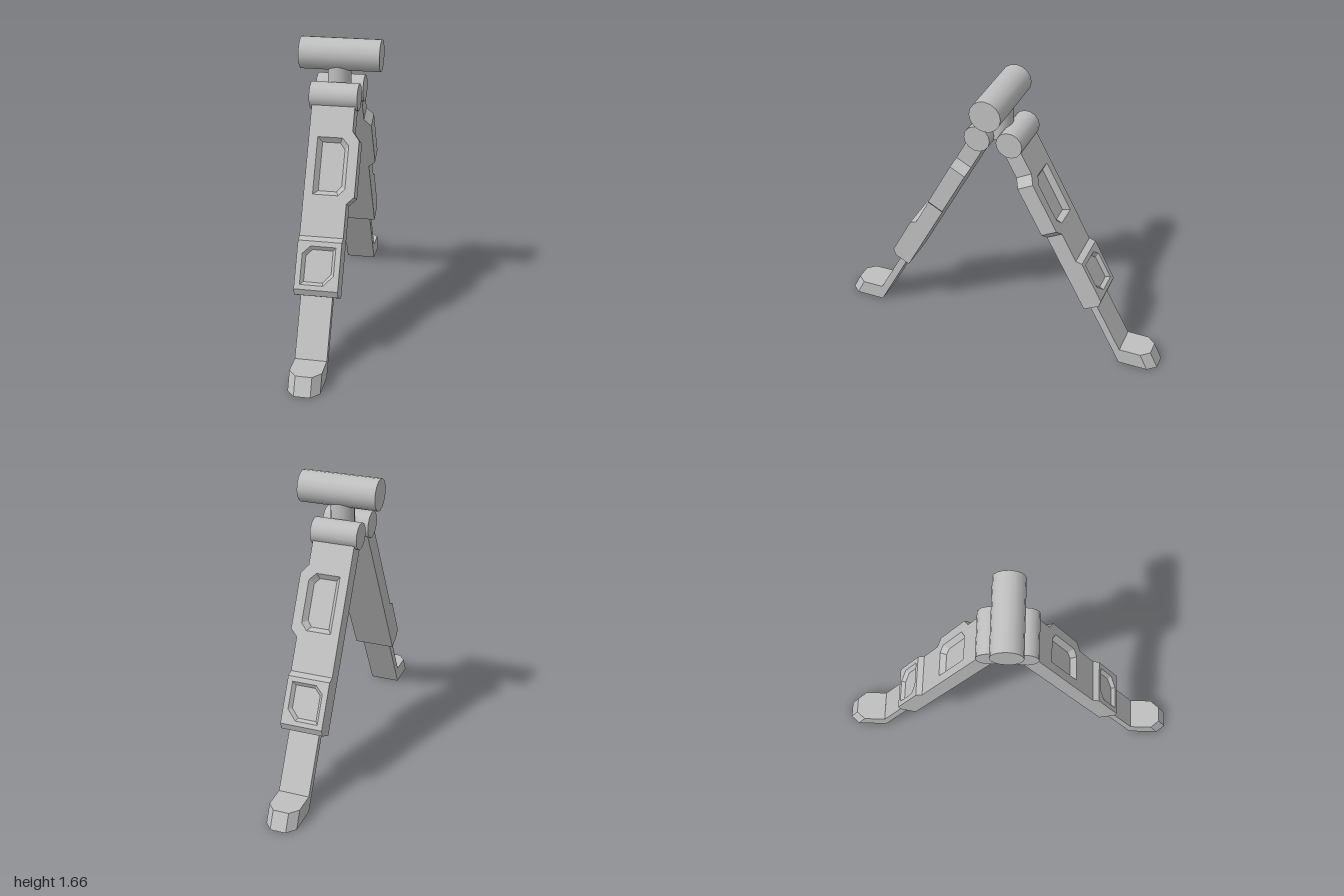
import * as THREE from 'three';
import { mergeGeometries } from 'three/addons/utils/BufferGeometryUtils.js';

const TILT = THREE.MathUtils.degToRad(28);

// Flat polygon [x, y] at height z, optionally with a hole, optionally facing -z
function plate(poly, z, hole, flip) {
  const toV = p => p.map(([x, y]) => new THREE.Vector2(x, y));
  const shape = new THREE.Shape(toV(poly));
  if (hole) shape.holes.push(new THREE.Path(toV(hole)));
  const g = new THREE.ShapeGeometry(shape).toNonIndexed();
  g.deleteAttribute('uv');
  g.deleteAttribute('normal');
  g.translate(0, 0, z);
  return flip ? reverse(g) : g;
}

// Walls joining polygon a at za to polygon b at zb
function band(a, za, b, zb) {
  const v = [];
  a.forEach((p, i) => {
    const j = (i + 1) % a.length, q = a[j], r = b[j], s = b[i];
    v.push(...p, za, ...q, za, ...r, zb, ...p, za, ...r, zb, ...s, zb);
  });
  const g = new THREE.BufferGeometry();
  g.setAttribute('position', new THREE.Float32BufferAttribute(v, 3));
  return g;
}

// Swap two corners of every triangle
function reverse(g) {
  const p = g.attributes.position;
  const a = new THREE.Vector3(), b = new THREE.Vector3();
  for (let i = 0; i < p.count; i += 3) {
    a.fromBufferAttribute(p, i + 1);
    b.fromBufferAttribute(p, i + 2);
    p.setXYZ(i + 1, b.x, b.y, b.z);
    p.setXYZ(i + 2, a.x, a.y, a.z);
  }
  return g;
}

// Shrink a polygon toward the middle of its bounds by t on each side
function inset(poly, t) {
  const box = new THREE.Box2().setFromPoints(poly.map(p => new THREE.Vector2(...p)));
  const c = box.getCenter(new THREE.Vector2()), s = box.getSize(new THREE.Vector2());
  return poly.map(([x, y]) => [
    c.x + (x - c.x) * (1 - 2 * t / s.x),
    c.y + (y - c.y) * (1 - 2 * t / s.y)
  ]);
}

// Front face with a sloped, sunken pocket
function pocketFace(poly, z, pocket, depth, slope) {
  const floor = inset(pocket, slope);
  return [plate(poly, z, pocket), band(pocket, z, floor, z - depth), plate(floor, z - depth)];
}

const rect = (x0, x1, y0, y1) => [[x0, y0], [x1, y0], [x1, y1], [x0, y1]];

// Leg housing, laid along the tilted leg axis
function housing() {
  const outline = [[-0.135, 0.058], [0.105, 0.058], [0.105, 0.562], [0.145, 0.602],
    [0.145, 0.91], [0.105, 0.96], [0.105, 1.157], [-0.135, 1.157]];
  const pocket = [[-0.085, 0.604], [0.055, 0.604], [0.09, 0.642],
    [0.09, 0.88], [0.052, 0.92], [-0.085, 0.92]];
  return mergeGeometries([
    plate(outline, 0.663, null, true),
    band(outline, 0.663, outline, 0.762),
    ...pocketFace(outline, 0.762, pocket, 0.03, 0.024)
  ]).rotateX(-TILT);
}

// Raised block at the lower end of the housing
function clampBlock() {
  const base = rect(-0.135, 0.105, 0.058, 0.376);
  const top = rect(-0.135, 0.105, 0.087, 0.349);
  const pocket = [[-0.105, 0.113], [0.022, 0.113], [0.075, 0.17],
    [0.075, 0.322], [-0.063, 0.322], [-0.105, 0.28]];
  return mergeGeometries([
    band(base, 0.762, top, 0.79),
    ...pocketFace(top, 0.79, pocket, 0.02, 0.017)
  ]).rotateX(-TILT);
}

// Sliding strut, drawn from the side as [z, y]
function strut() {
  const side = [[0.777, 0], [0.777, 0.093], [0.597, 0.43], [0.548, 0.43]];
  const shape = new THREE.Shape(side.map(p => new THREE.Vector2(...p)));
  const g = new THREE.ExtrudeGeometry(shape, { depth: 0.175, bevelEnabled: false });
  return g.rotateY(-Math.PI / 2).translate(0.07, 0, 0);
}

// Foot with clipped toe corners and a sloping toe
function foot() {
  const ring = toe => [[-0.105, -0.777], [-0.105, -toe + 0.05], [-0.062, -toe],
    [0.027, -toe], [0.07, -toe + 0.05], [0.07, -0.777]];
  const low = ring(1), high = ring(0.953);
  return mergeGeometries([
    plate(low, 0, null, true), band(low, 0, high, 0.095), plate(high, 0.095)
  ]).rotateX(-Math.PI / 2);
}

export function createModel() {
  const model = new THREE.Group();
  model.name = 'bipod';
  const grey = new THREE.MeshStandardMaterial({ color: 0xbfbfbf });
  grey.name = 'grey';

  const add = (parent, name, geometry) => {
    const mesh = new THREE.Mesh(geometry, grey);
    mesh.name = name;
    parent.add(mesh);
    return mesh;
  };
  const crossCylinder = (r, x0, x1, sides) =>
    new THREE.CylinderGeometry(r, r, x1 - x0, sides).rotateZ(Math.PI / 2)
      .translate((x0 + x1) / 2, 0, 0);

  // Mounting head and post
  add(model, 'mountTube', crossCylinder(0.09, -0.225, 0.225, 16)).position.y = 1.575;
  add(model, 'post', new THREE.CylinderGeometry(0.067, 0.067, 0.235, 16))
    .position.set(-0.01, 1.4575, 0);

  // Two legs, mirrored front to back
  for (const side of [1, -1]) {
    const leg = new THREE.Group();
    leg.name = side > 0 ? 'frontLeg' : 'backLeg';
    model.add(leg);
    add(leg, 'hinge', crossCylinder(0.076, -0.15, 0.118, 14)).position.set(0, 1.36, 0.094 * side);
    for (const make of [housing, clampBlock, strut, foot]) {
      let g = make();
      if (g.index) g = g.toNonIndexed();
      if (side < 0) reverse(g.scale(1, 1, -1));
      g.computeVertexNormals();
      add(leg, make.name, g);
    }
  }
  return model;
}
